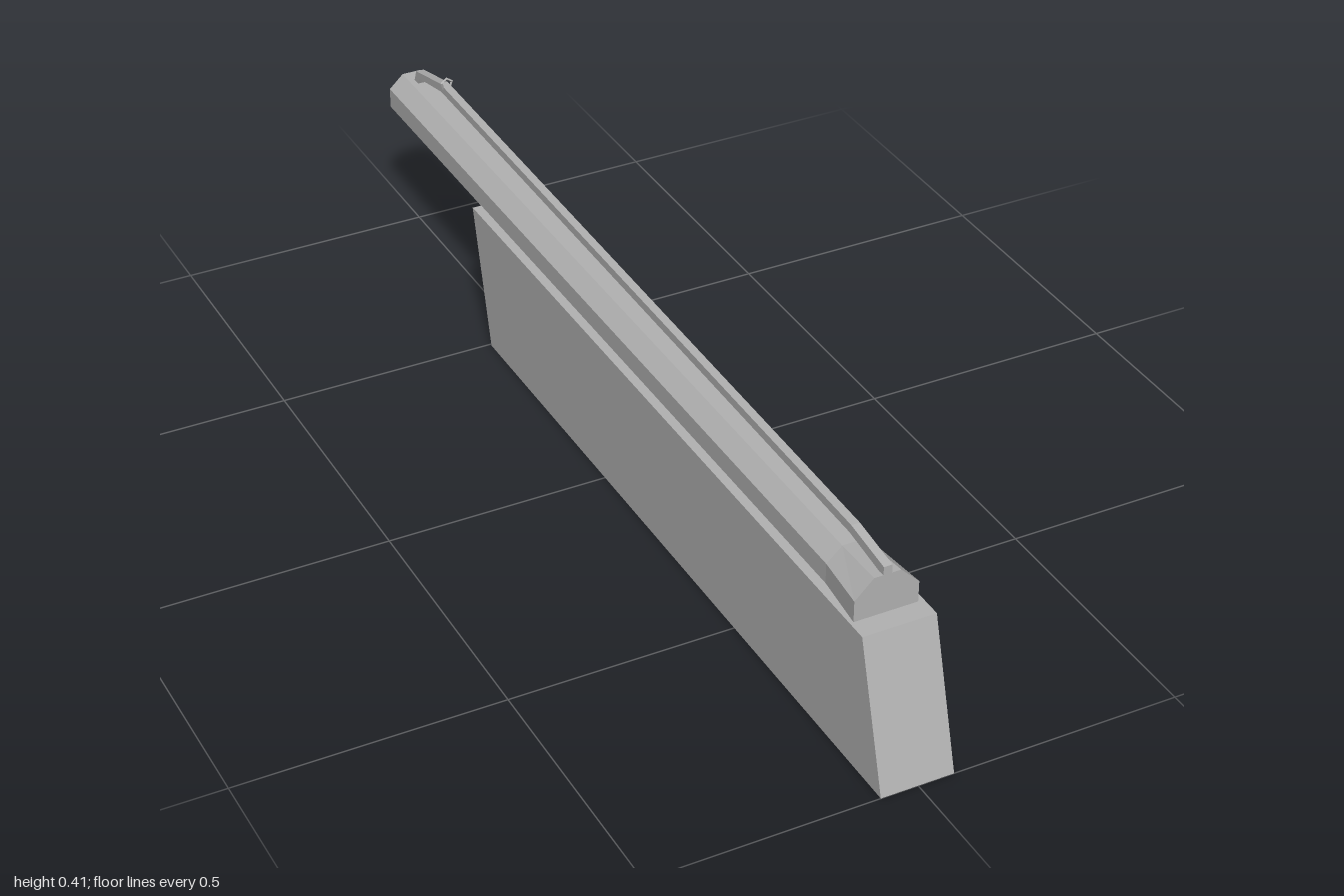
import * as THREE from 'three';

const CX = -0.003; // centre line of barrel and rod

// Skins a list of equal-length rings [[x, y, z], ...]; rings run counter-clockwise seen from +z, listed back to front
function loft(rings, capStart, capEnd) {
  const pos = [];
  const tri = (a, b, c) => pos.push(...a, ...b, ...c);
  const n = rings[0].length;
  for (let i = 0; i < rings.length - 1; i++) {
    for (let j = 0; j < n; j++) {
      const k = (j + 1) % n, a = rings[i], b = rings[i + 1];
      tri(a[j], a[k], b[k]);
      tri(a[j], b[k], b[j]);
    }
  }
  const first = rings[0], last = rings[rings.length - 1];
  for (let j = 1; j < n - 1; j++) {
    if (capStart) tri(first[0], first[j + 1], first[j]);
    if (capEnd) tri(last[0], last[j], last[j + 1]);
  }
  const g = new THREE.BufferGeometry();
  g.setAttribute('position', new THREE.Float32BufferAttribute(pos, 3));
  g.computeVertexNormals();
  return g;
}

// Octagon with separate flat and full half sizes
function octagon(z, cy, flatX, halfX, flatY, halfY) {
  return [
    [halfX, -flatY], [halfX, flatY], [flatX, halfY], [-flatX, halfY],
    [-halfX, flatY], [-halfX, -flatY], [-flatX, -halfY], [flatX, -halfY],
  ].map(([x, y]) => [CX + x, cy + y, z]);
}

export function createModel() {
  const model = new THREE.Group();
  const grey = new THREE.MeshStandardMaterial({ color: 0xb2b2b2, flatShading: true });
  const add = (name, geometry) => {
    const mesh = new THREE.Mesh(geometry, grey);
    mesh.name = name;
    model.add(mesh);
    return mesh;
  };

  // Slanted base block, drawn in side profile
  const side = new THREE.Shape([[-1, 0], [0.495, 0], [0.565, 0.274], [-0.92, 0.274]]
    .map(([x, y]) => new THREE.Vector2(x, y)));
  const block = new THREE.ExtrudeGeometry(side, { depth: 0.138, bevelEnabled: false });
  block.rotateY(Math.PI / 2);
  block.translate(-0.07, 0, 0);
  add('baseBlock', block);

  // Octagonal barrel, flared and closed at the front
  add('barrel', loft([
    octagon(-1, 0.293, 0.02, 0.049, 0.02, 0.047),
    octagon(0.77, 0.293, 0.02, 0.049, 0.02, 0.047),
    octagon(0.88, 0.293, 0.025, 0.06, 0.022, 0.057),
  ], false, true));

  // Inner bore, running front to back so its faces look inwards
  const boreAt = (z) => octagon(z, 0.293, 0.016, 0.04, 0.016, 0.038);
  add('bore', loft([boreAt(0.75), boreAt(-1)], false, false));
  add('boreEnd', loft([boreAt(0.749), boreAt(0.75)], true, false));

  // Rim joining the bore to the barrel at the open end
  add('muzzleRim', loft([boreAt(-1), octagon(-1, 0.293, 0.02, 0.049, 0.02, 0.047)], false, false));

  // Long bent rod above the barrel: [z, bottom y, z of top edge, top y]
  const rodPath = [
    [-0.952, 0.335, -0.97, 0.335],
    [-0.944, 0.354, -0.958, 0.364],
    [-0.835, 0.378, -0.84, 0.394],
    [0.77, 0.363, 0.775, 0.38],
    [0.88, 0.347, 0.88, 0.366],
  ];
  add('rod', loft(rodPath.map(([zb, yb, zt, yt]) => [
    [CX + 0.008, yb, zb], [CX + 0.008, yt, zt],
    [CX - 0.008, yt, zt], [CX - 0.008, yb, zb],
  ]), true, true));

  // Five-sided ring on top of the rod
  const ring = add('ring', new THREE.TorusGeometry(0.0115, 0.003, 4, 5));
  ring.rotation.z = Math.PI / 2;
  ring.position.set(CX, 0.398, -0.826);

  return model;
}
